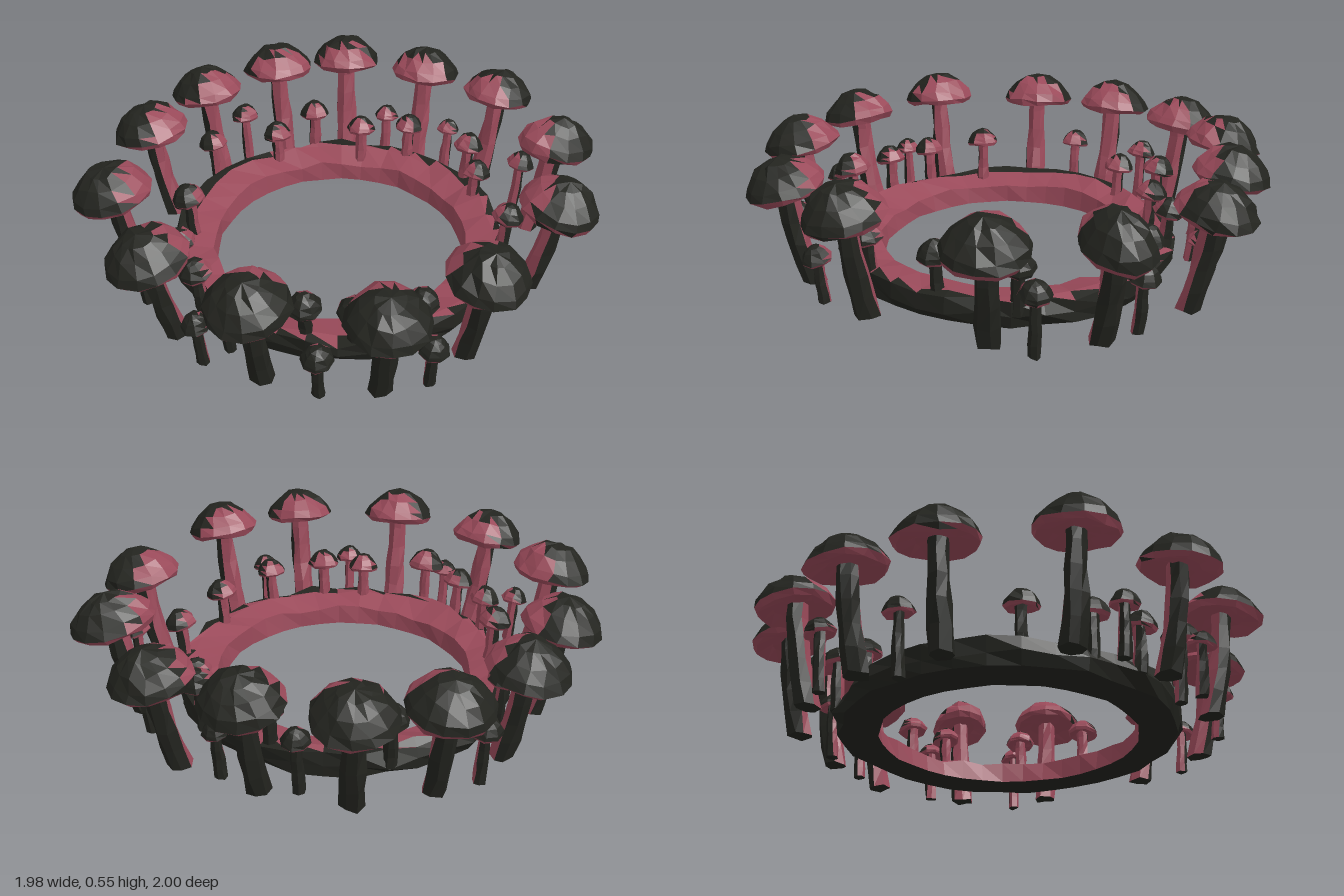
import * as THREE from 'three';

const dark = new THREE.MeshStandardMaterial({ color: 0x23241f, flatShading: true, side: THREE.DoubleSide });
const pink = new THREE.MeshStandardMaterial({ color: 0x9a4a5a, flatShading: true, side: THREE.DoubleSide });

// Repeatable noise in -1..1 from a position, so shared corners stay joined
function noise(x, y, z, seed) {
  const s = Math.sin(Math.round(x * 1e4) * 0.0127 + Math.round(y * 1e4) * 0.0311 + Math.round(z * 1e4) * 0.0193 + seed * 7.13) * 4375.85;
  return (s - Math.floor(s)) * 2 - 1;
}

// Move every vertex by a rule that edits the vector in place
function reshape(geometry, rule) {
  const p = geometry.attributes.position;
  const v = new THREE.Vector3();
  for (let i = 0; i < p.count; i++) {
    rule(v.fromBufferAttribute(p, i));
    p.setXYZ(i, v.x, v.y, v.z);
  }
  return geometry;
}

const roughen = (geometry, amount, seed) => reshape(geometry, (v) => {
  const { x, y, z } = v;
  v.set(x + amount * noise(x, y, z, seed), y + amount * noise(x, y, z, seed + 1), z + amount * noise(x, y, z, seed + 2));
});

const lathe = (profile, sides) => new THREE.LatheGeometry(profile.map(([r, y]) => new THREE.Vector2(r, y)), sides);

// Split the faces into a dark mesh and a pink mesh: isPink(centre, normal)
function twoTone(name, geometry, isPink) {
  const p = geometry.toNonIndexed().attributes.position;
  const sides = [[], []];
  const tri = new THREE.Triangle();
  const centre = new THREE.Vector3(), normal = new THREE.Vector3();
  for (let i = 0; i < p.count; i += 3) {
    tri.setFromAttributeAndIndices(p, i, i + 1, i + 2);
    if (tri.getArea() < 1e-8) continue;
    tri.getMidpoint(centre);
    tri.getNormal(normal);
    const list = sides[isPink(centre, normal) ? 1 : 0];
    for (const c of [tri.a, tri.b, tri.c]) list.push(c.x, c.y, c.z);
  }
  const group = new THREE.Group();
  group.name = name;
  sides.forEach((list, i) => {
    if (!list.length) return;
    const g = new THREE.BufferGeometry();
    g.setAttribute('position', new THREE.Float32BufferAttribute(list, 3));
    g.computeVertexNormals();
    const mesh = new THREE.Mesh(g, i ? pink : dark);
    mesh.name = name + (i ? 'InnerSide' : 'OuterSide');
    group.add(mesh);
  });
  return group;
}

// Chunky, uneven band with a sloping top
function createBand() {
  const g = lathe([[0.5, 0.02], [0.65, 0.02], [0.67, 0.065], [0.66, 0.118], [0.625, 0.126], [0.51, 0.095], [0.5, 0.02]], 36);
  reshape(g, (v) => {
    const { x, y, z } = v;
    const r = Math.hypot(x, z);
    const k = 1 + (r > 0.56 ? 0.024 : 0.012) * noise(x, y, z, 3);
    v.set(x * k - 0.008, y > 0.03 ? y + 0.013 * noise(x, y, z, 5) : y, z * k);
  });
  return twoTone('band', g, (c, n) => {
    const r = Math.hypot(c.x, c.z);
    const inward = -(n.x * c.x + n.z * c.z) / r;
    return n.y > -0.5 && (inward > 0.3 || (n.y > 0.4 && r < 0.632));
  });
}

// One mushroom, local +x points away from the crown's centre
function createMushroom(name, { x, z, r, top, base, lean, stem, sides, seed, steep, stretch = 1 }) {
  const group = new THREE.Group();
  group.name = name;
  const capHeight = r * steep;
  const rim = top - capHeight;

  // Stem: flared foot, curving outward and straightening towards the cap
  const height = rim + capHeight * 0.4 - base;
  const stemGeo = new THREE.CylinderGeometry(stem * 0.9, stem * 1.1, height, 7, 5);
  stemGeo.translate(0, base + height / 2, 0);
  reshape(stemGeo, (v) => {
    const down = THREE.MathUtils.clamp(1 - (v.y - base) / height, 0, 1);
    v.x -= lean * Math.pow(down, 1.7);
  });
  roughen(stemGeo, stem * 0.13, seed);
  group.add(twoTone(name + 'Stem', stemGeo, (c, n) => n.x < -0.4 || (n.z > 0.75 && n.x < 0.1)));

  // Cap: faceted, low-peaked dome with a thick rim and a shallow hollow underneath
  const profile = [[0, 0.2], [0.5, 0.12], [0.9, 0], [1, 0.15], [0.9, 0.38], [0.66, 0.68], [0.36, 0.9], [0, 1]];
  const capGeo = roughen(lathe(profile.map(([a, b]) => [a * r, b * capHeight]), sides), r * 0.04, seed + 9);
  const cap = twoTone(name + 'Cap', capGeo, (c, n) =>
    n.y < -0.3 || c.x < r * (-0.42 + 0.14 * noise(c.x, c.y, c.z, seed)));
  cap.position.y = rim;
  cap.rotation.z = -0.2;
  cap.scale.z = stretch;
  group.add(cap);

  group.position.set(x, 0, z);
  group.rotation.y = -Math.atan2(z, x);
  return group;
}

export function createModel() {
  const model = new THREE.Group();
  model.name = 'mushroomCrown';
  model.add(createBand());

  // Tall mushrooms around the outside: x, z, cap radius, top height
  const tall = [
    [-0.29, -0.83, 0.15, 0.54], [0.08, -0.85, 0.15, 0.54], [0.43, -0.785, 0.148, 0.53], [0.74, -0.47, 0.165, 0.54],
    [0.835, -0.065, 0.155, 0.53], [0.69, 0.44, 0.152, 0.55], [0.44, 0.745, 0.148, 0.53], [-0.01, 0.845, 0.153, 0.54],
    [-0.44, 0.74, 0.152, 0.53], [-0.75, 0.45, 0.157, 0.54], [-0.84, 0, 0.155, 0.53], [-0.765, -0.36, 0.153, 0.53],
    [-0.56, -0.665, 0.153, 0.53],
  ];
  tall.forEach(([x, z, r, top], i) => model.add(createMushroom('tallMushroom' + (i + 1), {
    x, z, r, top, base: 0.02, lean: 0.075, stem: 0.042, sides: 13, seed: i + 1, steep: 0.9, stretch: i === 3 ? 0.76 : 1,
  })));

  // Short mushrooms standing outside the band
  const outer = [
    [-0.06, -0.74, 0.055, 0.28], [0.23, -0.75, 0.05, 0.26], [0.6, -0.56, 0.06, 0.29], [0.8, -0.22, 0.06, 0.3],
    [0.56, 0.6, 0.058, 0.25], [0.21, 0.79, 0.06, 0.26], [-0.25, 0.78, 0.055, 0.25], [-0.18, 0.7, 0.08, 0.33],
    [-0.6, 0.57, 0.055, 0.26], [-0.66, -0.5, 0.062, 0.29], [-0.67, -0.2, 0.062, 0.32],
  ];
  outer.forEach(([x, z, r, top], i) => model.add(createMushroom('outerShortMushroom' + (i + 1), {
    x, z, r, top, base: i % 3 ? 0.015 : 0.003, lean: 0.015, stem: 0.022, sides: 8, seed: i + 31, steep: 1.15,
  })));

  // Short mushrooms growing on the band
  const inner = [
    [0.08, -0.63, 0.062, 0.32], [-0.12, -0.56, 0.064, 0.31], [-0.35, -0.58, 0.066, 0.33], [-0.46, -0.41, 0.064, 0.29],
    [0.37, -0.56, 0.064, 0.33], [0.44, -0.43, 0.06, 0.29], [0.64, -0.14, 0.064, 0.32], [0.59, 0.16, 0.066, 0.32],
    [0.47, 0.44, 0.064, 0.31], [0.27, 0.58, 0.068, 0.32], [0.09, 0.61, 0.066, 0.31], [-0.35, 0.58, 0.064, 0.31],
    [-0.49, 0.44, 0.064, 0.31], [-0.57, 0.21, 0.068, 0.34],
  ];
  inner.forEach(([x, z, r, top], i) => model.add(createMushroom('innerShortMushroom' + (i + 1), {
    x, z, r, top, base: 0.07, lean: 0.01, stem: 0.025, sides: 8, seed: i + 61, steep: 1.15,
  })));

  return model;
}
